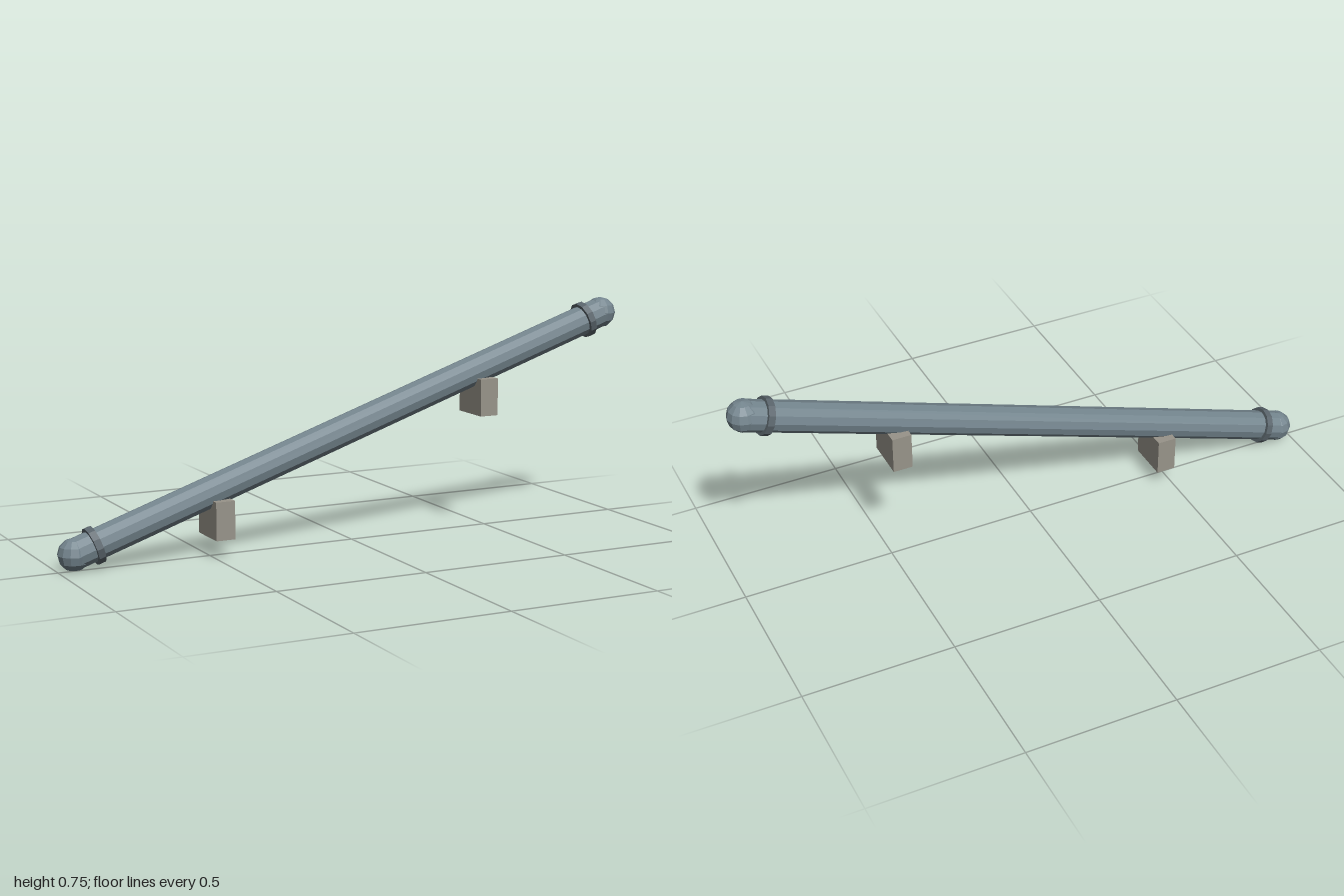
import * as THREE from 'three';

const pipeGrey = new THREE.MeshStandardMaterial({ name: 'blue grey pipe', color: 0x74858e, flatShading: true });
const ringGrey = new THREE.MeshStandardMaterial({ name: 'dark grey ring', color: 0x5a656c, flatShading: true });
const stone = new THREE.MeshStandardMaterial({ name: 'warm grey block', color: 0x98948a, flatShading: true });

// Centre line of the sloping pipe
const MID_Y = 0.3725, END_X = 0.948, END_RISE = 0.3205;
const SLOPE = END_RISE / END_X;
const TILT = Math.atan(SLOPE);
const axisY = (x) => MID_Y + x * SLOPE;

export function createModel() {
  const group = new THREE.Group();

  function add(name, geometry, material, x, y, tilt = 0) {
    const mesh = new THREE.Mesh(geometry, material);
    mesh.name = name;
    mesh.position.set(x, y, 0);
    mesh.rotation.z = tilt;
    group.add(mesh);
  }

  // Straight pipe, running up towards +x
  const length = 2 * Math.hypot(END_X, END_RISE);
  add('pipe', new THREE.CylinderGeometry(0.05, 0.05, length, 12), pipeGrey, 0, MID_Y, TILT - Math.PI / 2);

  for (const [side, s] of [['left', 1], ['right', -1]]) {
    // Rounded end and its collar
    add(side + 'EndCap', new THREE.SphereGeometry(0.052, 12, 6), pipeGrey, s * END_X, axisY(s * END_X));
    add(side + 'Collar', new THREE.CylinderGeometry(0.061, 0.061, 0.022, 12), ringGrey,
      s * 0.883, axisY(s * 0.883), TILT - Math.PI / 2);
    // Supporting block, its top sunk into the underside of the pipe
    const x = s * 0.474;
    add(side + 'Support', new THREE.BoxGeometry(0.064, 0.123, 0.14), stone, x, axisY(x) - 0.09);
  }
  return group;
}
